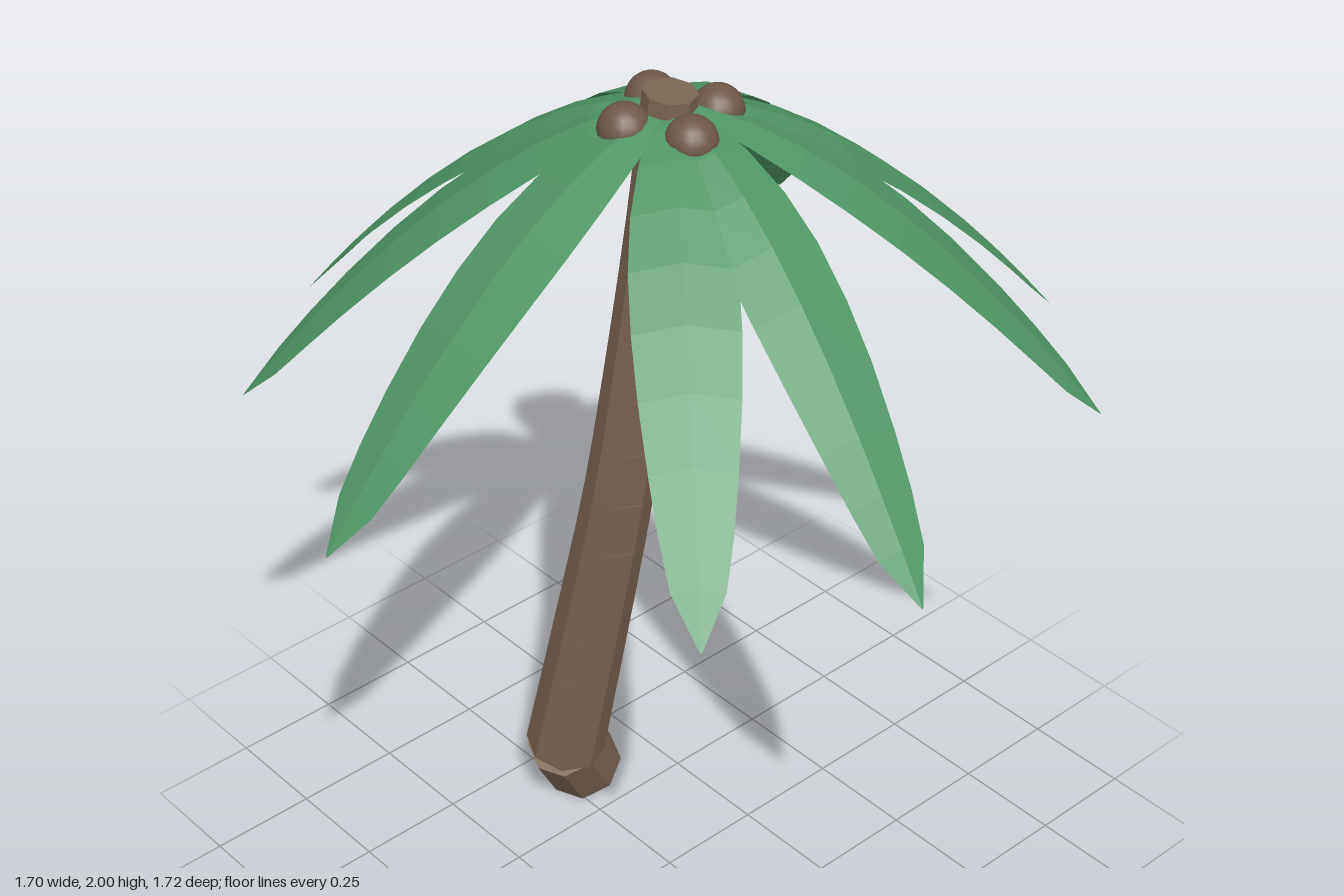
import * as THREE from 'three';

const bark = new THREE.MeshStandardMaterial({ color: 0x7a6553, flatShading: true });
const leaf = new THREE.MeshStandardMaterial({ color: 0x4f9565, flatShading: true, side: THREE.DoubleSide });
const shell = new THREE.MeshStandardMaterial({ color: 0x6e5849 });
const V = (x, y, z) => new THREE.Vector3(x, y, z);
const CROWN = V(-0.027, 1.97, -0.028);

// Tapered eight-sided log between two points
function log(a, b, r0, r1, name) {
  const dir = b.clone().sub(a);
  const mesh = new THREE.Mesh(new THREE.CylinderGeometry(r1, r0, dir.length(), 8), bark);
  mesh.position.copy(a).lerp(b, 0.5);
  mesh.quaternion.setFromUnitVectors(V(0, 1, 0), dir.normalize());
  mesh.name = name;
  return mesh;
}

// Drooping frond along +x: left edge, raised midrib and right edge per cross-section
function frondGeometry() {
  const reach = [0, 0.08, 0.16, 0.26, 0.36, 0.46, 0.56, 0.66, 0.74, 0.81, 0.885];
  const half = [0.025, 0.05, 0.073, 0.094, 0.104, 0.104, 0.097, 0.084, 0.07, 0.052, 0.002];
  const pos = [], index = [];
  reach.forEach((r, i) => {
    const y = -0.66 * (r / 0.885) ** 1.68;
    const fold = half[i] * 0.2;
    pos.push(r, y - fold, -half[i], r, y, 0, r, y - fold, half[i]);
    if (i === 0) return;
    for (let k = 0; k < 2; k++) {
      const a = (i - 1) * 3 + k, b = a + 3;
      index.push(a, a + 1, b, a + 1, b + 1, b);
    }
  });
  const g = new THREE.BufferGeometry();
  g.setAttribute('position', new THREE.Float32BufferAttribute(pos, 3));
  g.setIndex(index);
  g.computeVertexNormals();
  return g;
}

export function createModel() {
  const model = new THREE.Group();
  model.name = 'palmTree';

  // Trunk: stacked logs along a gentle curve, with a skewed stump below
  const trunk = new THREE.Group();
  trunk.name = 'trunk';
  trunk.add(log(V(-0.367, 0.05, -0.048), V(-0.33, 0.19, 0.037), 0.094, 0.091, 'stump'));
  const path = new THREE.CatmullRomCurve3([
    V(-0.33, 0.185, 0.035), V(-0.235, 0.6, 0.025), V(-0.15, 1.0, 0.013),
    V(-0.098, 1.33, 0.003), V(-0.055, 1.68, -0.012), V(-0.027, 1.994, -0.026),
  ]);
  const n = 13;
  const radius = (t) => 0.093 - 0.037 * t;
  const rings = path.getSpacedPoints(n);
  for (let i = 0; i < n; i++) {
    trunk.add(log(rings[i], rings[i + 1], radius(i / n), radius((i + 1) / n), 'trunkSegment'));
  }
  model.add(trunk);

  // Fronds: nine around the crown, some swung towards their neighbour
  const fronds = new THREE.Group();
  fronds.name = 'fronds';
  const frondShape = frondGeometry();
  for (let i = 0; i < 9; i++) {
    const swing = i > 0 && i % 2 === 0 ? -11.6 : 0;
    const frond = new THREE.Mesh(frondShape, leaf);
    frond.name = 'frond';
    frond.position.copy(CROWN);
    frond.rotation.y = -THREE.MathUtils.degToRad(90 + 40 * i + swing);
    fronds.add(frond);
  }
  model.add(fronds);

  // Coconuts: four around the trunk top
  const nuts = new THREE.Group();
  nuts.name = 'coconuts';
  const nutShape = new THREE.SphereGeometry(0.055, 16, 12);
  for (let i = 0; i < 4; i++) {
    const a = 0.33 + (i * Math.PI) / 2;
    const nut = new THREE.Mesh(nutShape, shell);
    nut.name = 'coconut';
    nut.position.set(CROWN.x + 0.099 * Math.cos(a), 1.932, CROWN.z + 0.099 * Math.sin(a));
    nuts.add(nut);
  }
  model.add(nuts);
  return model;
}
